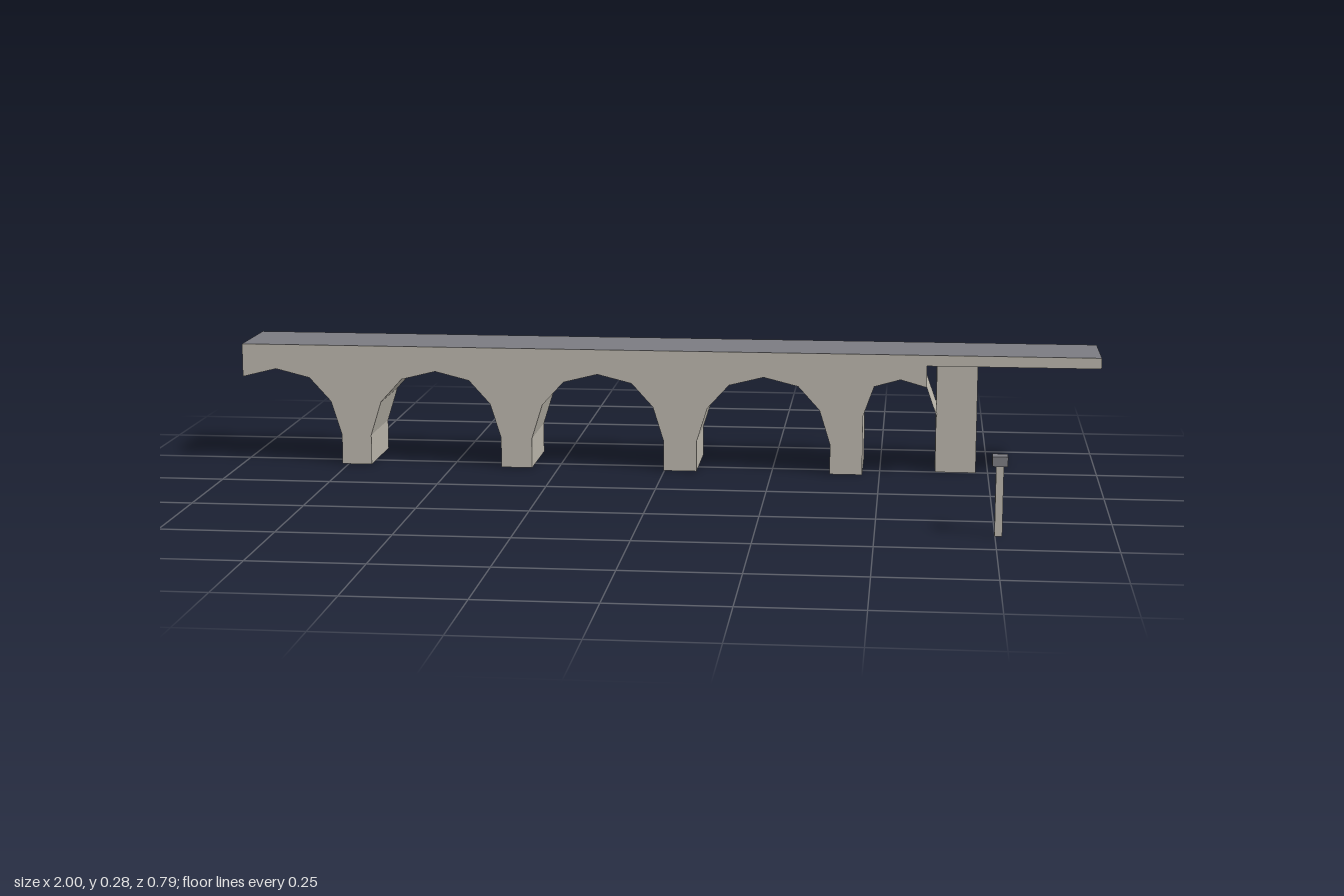
import * as THREE from 'three';

const FRONT = -0.2, BACK = -0.393, MID = (FRONT + BACK) / 2;
const TOP = 0.283, LIP = 0.258;

export function createModel() {
  const model = new THREE.Group();
  model.name = 'viaduct';

  const stone = new THREE.MeshStandardMaterial({ color: 0xbab5ab, side: THREE.DoubleSide });
  stone.name = 'stone';
  const slate = new THREE.MeshStandardMaterial({ color: 0x7b7b81, side: THREE.DoubleSide });
  slate.name = 'slate';

  const add = (name, geometry, material) => {
    const mesh = new THREE.Mesh(geometry, material);
    mesh.name = name;
    model.add(mesh);
    return mesh;
  };
  const box = (name, w, h, d, x, y, z, material) =>
    add(name, new THREE.BoxGeometry(w, h, d), material).position.set(x, y + h / 2, z);

  // Sweep a profile in x and y straight across the width of the bridge
  const strip = (points) => {
    const pos = [];
    for (let i = 0; i + 1 < points.length; i++) {
      const [ax, ay] = points[i], [bx, by] = points[i + 1];
      pos.push(ax, ay, FRONT, ax, ay, BACK, bx, by, BACK);
      pos.push(ax, ay, FRONT, bx, by, BACK, bx, by, FRONT);
    }
    const g = new THREE.BufferGeometry();
    g.setAttribute('position', new THREE.Float32BufferAttribute(pos, 3));
    g.computeVertexNormals();
    return g;
  };

  // Arch undersides, from left to right
  const half = [[0.155, 0], [0.155, 0.07], [0.13, 0.15], [0.08, 0.205]];
  const smallHalf = [[0.085, 0], [0.085, 0.138], [0.06, 0.208]];
  const arch = (cx, side) => [
    ...side.map(([x, y]) => [cx - x, y]),
    [cx, 0.225],
    ...[...side].reverse().map(([x, y]) => [cx + x, y]),
  ];
  const arches = [
    arch(-0.92, half).slice(3), // the first arch is cut by the end of the bridge
    ...[-0.54, -0.157, 0.23].map((cx) => arch(cx, half)),
    arch(0.545, smallHalf).slice(0, -1), // the last one springs short of the ground
  ];
  arches[0][0] = [-1, 0.205];
  arches.forEach((points) => add('archVault', strip(points), stone));

  // Side walls with the arches cut out and a thin lip along the overhang
  const lower = arches.flat().slice(0, -1);
  const outline = [[-1, TOP], ...lower, [0.605, LIP], [1, LIP], [1, TOP]];
  const wall = new THREE.ShapeGeometry(
    new THREE.Shape(outline.map(([x, y]) => new THREE.Vector2(x, y))));
  add('frontWall', wall, stone).position.z = FRONT;
  const backWall = wall.clone();
  backWall.scale(1, 1, -1);
  const index = backWall.index.array;
  for (let i = 0; i < index.length; i += 3) {
    [index[i], index[i + 1]] = [index[i + 1], index[i]];
  }
  backWall.computeVertexNormals();
  add('backWall', backWall, stone).position.z = BACK;

  // End wall under the overhang, and the deck
  add('endWall', strip([[0.605, 0.22], [0.605, TOP]]), stone);
  add('deck', strip([[1, TOP], [-1, TOP]].reverse()), slate);

  // Free-standing support below the overhang
  box('supportPillar', 0.094, 0.257, 0.094, 0.675, 0, MID, stone);

  // Separate marker post with a square cap
  box('post', 0.016, 0.15, 0.016, 0.757, 0, 0.377, stone);
  box('postCap', 0.032, 0.021, 0.032, 0.757, 0.15, 0.377, slate);

  return model;
}
